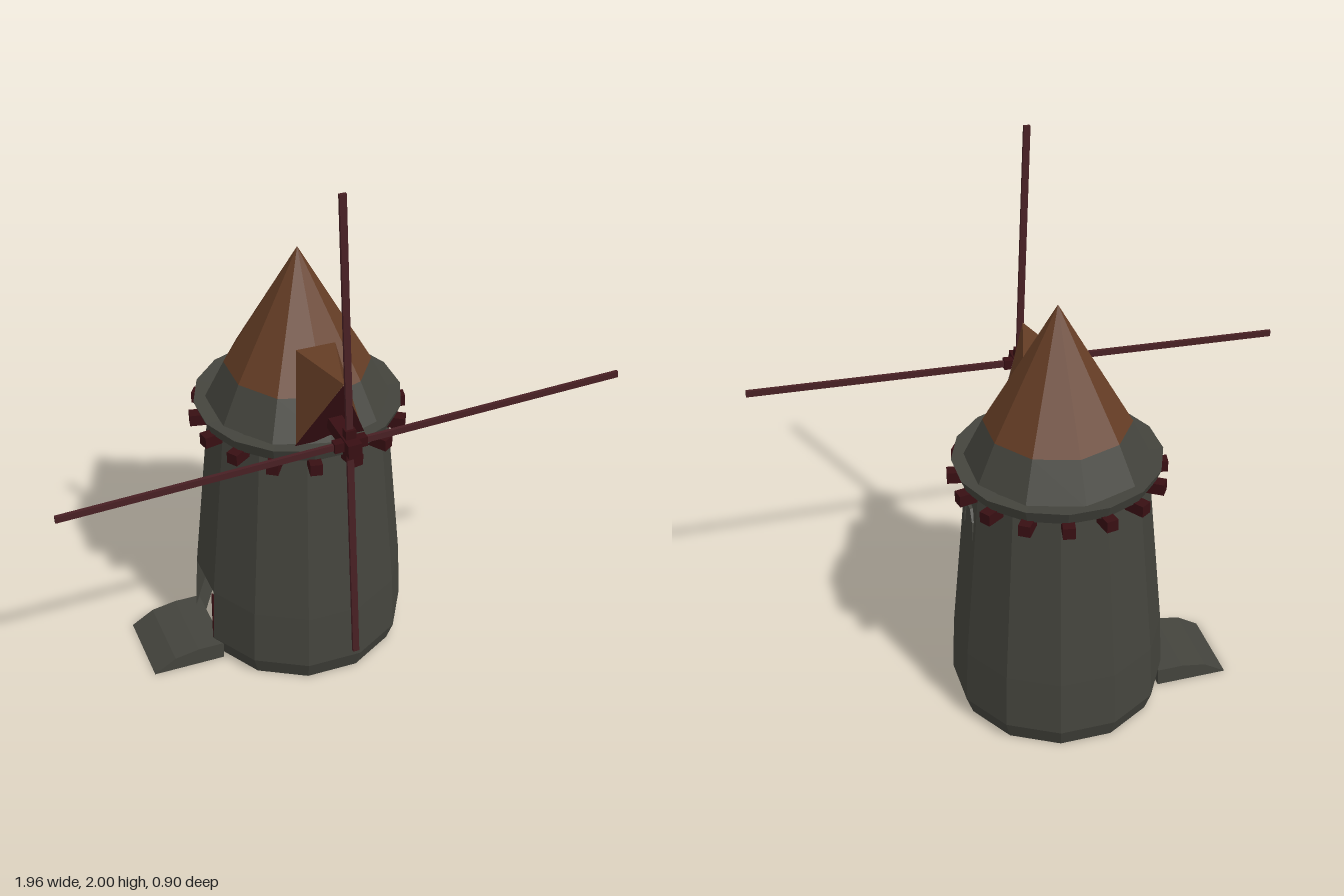
import * as THREE from 'three';

const mat = (name, color) => {
  const m = new THREE.MeshStandardMaterial({ color, flatShading: true, side: THREE.DoubleSide });
  m.name = name;
  return m;
};
const RAD = Math.PI / 180;
const CZ = -0.07; // tower axis

export function createModel() {
  const stone = mat('stone', 0x44443d);
  const roofTile = mat('roofTile', 0x653d25);
  const darkWood = mat('darkWood', 0x380f13);
  const sailWood = mat('sailWood', 0x482024);
  const model = new THREE.Group();
  model.name = 'windmill';

  const add = (name, geo, material, x = 0, y = 0, z = 0, parent = model) => {
    const mesh = new THREE.Mesh(geo, material);
    mesh.name = name;
    mesh.position.set(x, y, z);
    parent.add(mesh);
    return mesh;
  };
  const lathe = (name, pts, sides, material, start = 0, sweep = 360) =>
    add(name, new THREE.LatheGeometry(pts.map(p => new THREE.Vector2(...p)), sides, start * RAD, sweep * RAD),
      material, 0, 0, CZ);
  const faces = (name, points, index, material) => {
    const g = new THREE.BufferGeometry();
    g.setAttribute('position', new THREE.Float32BufferAttribute(points.flat(), 3));
    g.setIndex(index);
    g.computeVertexNormals();
    return add(name, g, material);
  };

  // Twelve-sided hollow tower; one lower side is left out for the doorway
  lathe('towerBase', [[0.36, 0], [0.385, 0.07], [0.376, 0.28]], 11, stone, 285, 330);
  lathe('towerWall', [[0.376, 0.28], [0.315, 0.95]], 12, stone, 15);

  // Overhanging lip and the conical cap
  lathe('capLip', [[0.30, 0.95], [0.345, 0.95], [0.365, 1.0], [0.31, 0.995]], 16, stone, 11.25);
  lathe('capSkirt', [[0.325, 0.99], [0.255, 1.135]], 10, stone);
  lathe('roof', [[0.255, 1.135], [0.001, 1.575]], 10, roofTile);

  // Ring of beam ends under the lip
  const corbels = new THREE.Group();
  corbels.name = 'corbels';
  corbels.position.z = CZ;
  model.add(corbels);
  for (let i = 0; i < 16; i++) {
    const a = (i + 0.5) * 22.5 * RAD;
    const c = add('corbel', new THREE.BoxGeometry(0.042, 0.042, 0.09), darkWood,
      Math.sin(a) * 0.336, 0.935, Math.cos(a) * 0.336, corbels);
    c.rotation.y = a;
  }

  // Dormer leaning out over the sail shaft
  const dormer = [[0, 1.287, 0.35], [0.07, 1.287, 0.1], [-0.07, 1.287, 0.1], [0.12, 1.0, 0.23], [-0.12, 1.0, 0.23]];
  faces('dormerRoof', dormer, [0, 1, 2, 0, 3, 1, 0, 2, 4], roofTile);
  faces('dormerGable', [[0, 1.28, 0.345], [-0.125, 1.0, 0.232], [0.125, 1.0, 0.232]], [0, 1, 2], darkWood);

  // Shaft, hub and four bare sail arms
  const sails = new THREE.Group();
  sails.name = 'sails';
  sails.position.set(0, 1.095, 0.405);
  sails.rotation.z = 2.35 * RAD;
  model.add(sails);
  add('shaft', new THREE.BoxGeometry(0.048, 0.048, 0.19), darkWood, 0, 0, -0.045, sails);
  add('hubAcross', new THREE.BoxGeometry(0.115, 0.036, 0.03), darkWood, 0, 0, 0, sails);
  add('hubUpright', new THREE.BoxGeometry(0.036, 0.115, 0.03), darkWood, 0, 0, 0, sails);
  [0.982, 0.905, 0.982, 0.905].forEach((len, i) => {
    const arm = new THREE.BoxGeometry(len, 0.023, 0.012);
    arm.translate(len / 2, 0, 0);
    add('sailArm', arm, sailWood, 0, 0, 0, sails).rotation.z = i * Math.PI / 2;
  });

  // Arched side window: raised frame with a recessed pane
  const arch = (w, y0, y1) => [[-w, y0], [w, y0], [w * 0.95, y1 - 0.045], [w * 0.6, y1], [-w * 0.6, y1], [-w * 0.95, y1 - 0.045]]
    .map(p => new THREE.Vector2(...p));
  const frame = new THREE.Shape(arch(0.063, -0.08, 0.08));
  frame.holes.push(new THREE.Path(arch(0.045, -0.065, 0.062)));
  const win = new THREE.Group();
  win.name = 'window';
  win.position.set(0.285, 0.78, CZ);
  win.rotation.y = Math.PI / 2;
  model.add(win);
  add('windowFrame', new THREE.ExtrudeGeometry(frame, { depth: 0.038, bevelEnabled: false }), stone, 0, 0, 0, win);
  add('windowPane', new THREE.ShapeGeometry(new THREE.Shape(arch(0.045, -0.065, 0.062))), stone, 0, 0, 0.03, win);

  // Half-open door and its jamb
  faces('door', [[-0.36, 0.27, 0.02], [-0.36, 0, 0.02], [-0.25, 0, 0.02]], [0, 1, 2], darkWood);
  add('doorJamb', new THREE.BoxGeometry(0.006, 0.27, 0.01), darkWood, -0.367, 0.135, 0.026);

  // Curved ramp leading to the doorway
  const ramp = new THREE.Shape([[-0.61, 0], [-0.345, 0], [-0.345, 0.066], [-0.44, 0.066], [-0.53, 0.05]]
    .map(p => new THREE.Vector2(...p)));
  add('ramp', new THREE.ExtrudeGeometry(ramp, { depth: 0.29, bevelEnabled: false }), stone, 0, 0, -0.22);

  return model;
}
